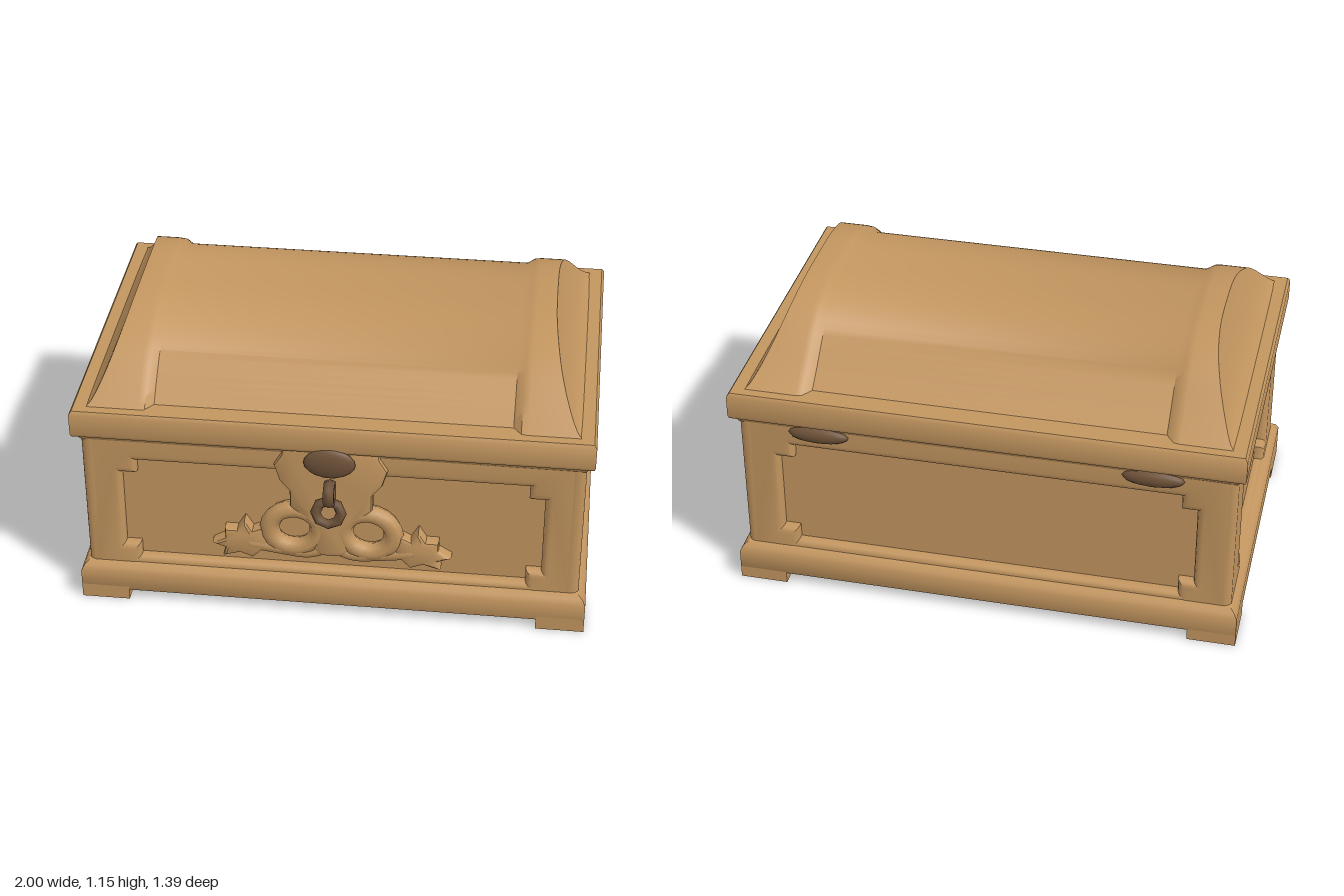
import * as THREE from 'three';
import { toCreasedNormals } from 'three/addons/utils/BufferGeometryUtils.js';

const wood = new THREE.MeshStandardMaterial({ color: 0xc2955f });
wood.name = 'warm wood';
const metal = new THREE.MeshStandardMaterial({ color: 0x6e5239 });
metal.name = 'dark metal';

const CZ = -0.03; // middle of the box in z
const HX = 1, HZ = 0.663; // outer half sizes

function add(parent, name, geometry, material, x = 0, y = 0, z = 0) {
  const mesh = new THREE.Mesh(geometry, material);
  mesh.name = name;
  mesh.position.set(x, y, z);
  parent.add(mesh);
  return mesh;
}

// Surface through rows of points
function gridSurface(rows, crease) {
  const n = rows[0].length, index = [];
  for (let i = 0; i < rows.length - 1; i++) {
    for (let j = 0; j < n - 1; j++) {
      const a = i * n + j, d = a + 1, b = a + n, c = b + 1;
      index.push(a, b, c, a, c, d);
    }
  }
  const g = new THREE.BufferGeometry().setFromPoints(rows.flat());
  g.setIndex(index);
  return toCreasedNormals(g, crease);
}

// Rectangular moulding from [inset, y] steps, closed at both ends
function moulding(profile) {
  const ring = ([inset, y]) => [[1, 1], [1, -1], [-1, -1], [-1, 1], [1, 1]].map(([sx, sz]) =>
    new THREE.Vector3(sx * (HX - inset), y, CZ + sz * (HZ - inset)));
  const centre = (y) => Array.from({ length: 5 }, () => new THREE.Vector3(0, y, CZ));
  const rows = [centre(profile[0][1]), ...profile.map(ring), centre(profile.at(-1)[1])];
  // rows climb, so swap the corner order to face outward
  return gridSurface(rows.map((r) => r.slice().reverse()), 0.7);
}

// Wall frame with a notched, bevelled opening
function wallFrame(halfWidth, holeHalf, bottom, top) {
  const s = new THREE.Shape();
  s.moveTo(-halfWidth, 0.08).lineTo(halfWidth, 0.08).lineTo(halfWidth, 0.8).lineTo(-halfWidth, 0.8);
  const w = holeHalf, k = 0.06;
  const pts = [[-w, bottom + k], [-w, top - k], [-w + k, top - k], [-w + k, top], [w - k, top], [w - k, top - k],
    [w, top - k], [w, bottom + k], [w - k, bottom + k], [w - k, bottom], [-w + k, bottom], [-w + k, bottom + k]];
  s.holes.push(new THREE.Path(pts.map(([x, y]) => new THREE.Vector2(x, y))));
  const g = new THREE.ExtrudeGeometry(s, {
    depth: 0.02, bevelThickness: 0.025, bevelSize: 0.03, bevelOffset: -0.03, bevelSegments: 3
  });
  g.translate(0, 0, -0.045);
  return toCreasedNormals(g, 0.6);
}

// Domed lid: sloping ends, raised end bands and a slightly lower barrel
function lidGeometry() {
  const profile = new THREE.CatmullRomCurve3([
    [0.59, 0.88], [0.5, 0.965], [0.4, 1.045], [0.3, 1.095], [0.15, 1.14], [-0.03, 1.153],
    [-0.22, 1.148], [-0.35, 1.11], [-0.45, 1.045], [-0.56, 0.95], [-0.65, 0.88]
  ].map(([z, y]) => new THREE.Vector3(0, y, z))).getPoints(40);
  const endX = (y) => 0.945 - 0.13 * Math.pow(Math.max(0, y - 0.88) / 0.275, 0.7);
  const row = (fn) => profile.map(fn);
  const half = [];
  for (let k = 0; k <= 6; k++) {
    half.push(row((p) => {
      const y = 0.88 + (p.y - 0.88) * k / 6;
      return new THREE.Vector3(endX(y), y, p.z);
    }));
  }
  half.push(row((p) => new THREE.Vector3(0.74, p.y, p.z)));
  half.push(row((p) => new THREE.Vector3(0.715, p.y - 0.004, p.z)));
  half.push(row((p) => new THREE.Vector3(0.685, p.y - 0.016, CZ + (p.z - CZ) * 0.955)));
  const left = half.map((r) => r.map((p) => new THREE.Vector3(-p.x, p.y, p.z)));
  return gridSurface([...left, ...half.reverse()], 0.6);
}

// Flat ornament cut from one half outline, mirrored when asked
function cutout(points, depth, mirror) {
  const pts = points.map(([x, y]) => new THREE.Vector2(x, y));
  if (mirror) pts.push(...points.slice().reverse().map(([x, y]) => new THREE.Vector2(-x, y)));
  const g = new THREE.ExtrudeGeometry(new THREE.Shape(pts), {
    depth, bevelThickness: 0.02, bevelSize: 0.015, bevelOffset: -0.015, bevelSegments: 2
  });
  return toCreasedNormals(g, 0.7);
}

function lockOrnament() {
  const g = new THREE.Group();
  g.name = 'lockOrnament';
  // Escutcheon
  add(g, 'lockPlate', cutout([[0.18, 0.8], [0.19, 0.74], [0.22, 0.69], [0.2, 0.62], [0.16, 0.57],
    [0.16, 0.5], [0.1, 0.44], [0.05, 0.38], [0.07, 0.3], [0.04, 0.27]], 0.06, true), wood, 0, 0, 0.54);
  for (const s of [1, -1]) {
    // Scroll loops
    const loop = add(g, 'scrollLoop', new THREE.TorusGeometry(0.09, 0.036, 8, 20), wood, s * 0.145, 0.38, 0.585);
    loop.scale.set(1.1, 1, 1);
    loop.rotation.z = s * -0.3;
    // Lower scroll
    const path = new THREE.CatmullRomCurve3([[0, 0.31], [0.09, 0.275], [0.17, 0.28], [0.24, 0.29], [0.32, 0.3]]
      .map(([x, y]) => new THREE.Vector3(s * x, y, 0.58)));
    add(g, 'lowerScroll', new THREE.TubeGeometry(path, 16, 0.035, 8), wood);
    // Jagged leaf
    const leaf = [[0.24, 0.3], [0.27, 0.38], [0.31, 0.36], [0.34, 0.41], [0.37, 0.36], [0.42, 0.36], [0.42, 0.32],
      [0.47, 0.29], [0.42, 0.27], [0.43, 0.23], [0.36, 0.25], [0.31, 0.23]];
    add(g, 'leaf', cutout(leaf.map(([x, y]) => [s * x, y]), 0.04), wood, 0, 0, 0.55);
  }
  // Hasp boss, link and pull ring
  const boss = add(g, 'haspBoss', new THREE.SphereGeometry(1, 16, 10), metal, -0.002, 0.725, 0.63);
  boss.scale.set(0.1, 0.065, 0.025);
  const link = add(g, 'haspLink', new THREE.TorusGeometry(0.036, 0.016, 6, 8), metal, 0, 0.6, 0.65);
  link.rotation.y = Math.PI / 2;
  link.scale.set(1, 1.15, 1.5);
  const ring = add(g, 'pullRing', new THREE.TorusGeometry(0.05, 0.021, 6, 8), metal, -0.005, 0.505, 0.645);
  ring.rotation.x = -0.15;
  return g;
}

export function createModel() {
  const chest = new THREE.Group();
  chest.name = 'chest';

  // Corner feet
  for (const sx of [1, -1]) {
    for (const sz of [1, -1]) {
      add(chest, 'foot', new THREE.BoxGeometry(0.19, 0.06, 0.2), wood,
        sx * (HX - 0.095), 0.03, CZ + sz * (HZ - 0.1));
    }
  }

  // Plinth, recessed core and rim
  add(chest, 'plinth', moulding([[0.005, 0.042], [0, 0.05], [0, 0.125], [0.012, 0.148], [0.035, 0.165]]), wood);
  add(chest, 'bodyCore', new THREE.BoxGeometry(1.86, 0.7, 1.175), wood, 0, 0.45, CZ);
  add(chest, 'rim', moulding([[0.034, 0.742], [0.025, 0.758], [0.004, 0.772], [0, 0.785], [0, 0.87], [0.01, 0.884]]), wood);

  // Panelled walls
  for (const s of [1, -1]) {
    const turn = s > 0 ? 0 : Math.PI;
    const long = add(chest, s > 0 ? 'frontWall' : 'backWall', wallFrame(0.97, 0.82, 0.19, 0.65), wood,
      0, 0, CZ + s * (HZ - 0.033));
    long.rotation.y = turn;
    const short = add(chest, s > 0 ? 'leftWall' : 'rightWall', wallFrame(0.63, 0.41, 0.17, 0.65), wood,
      s * 0.97, 0, CZ);
    short.rotation.y = s * Math.PI / 2;
  }

  // Lid
  add(chest, 'lid', lidGeometry(), wood);

  // Hinges
  for (const x of [0.65, -0.65]) {
    const hinge = add(chest, 'hinge', new THREE.SphereGeometry(1, 14, 8), metal, x, 0.725, -0.66);
    hinge.scale.set(0.12, 0.035, 0.03);
  }

  chest.add(lockOrnament());
  return chest;
}
